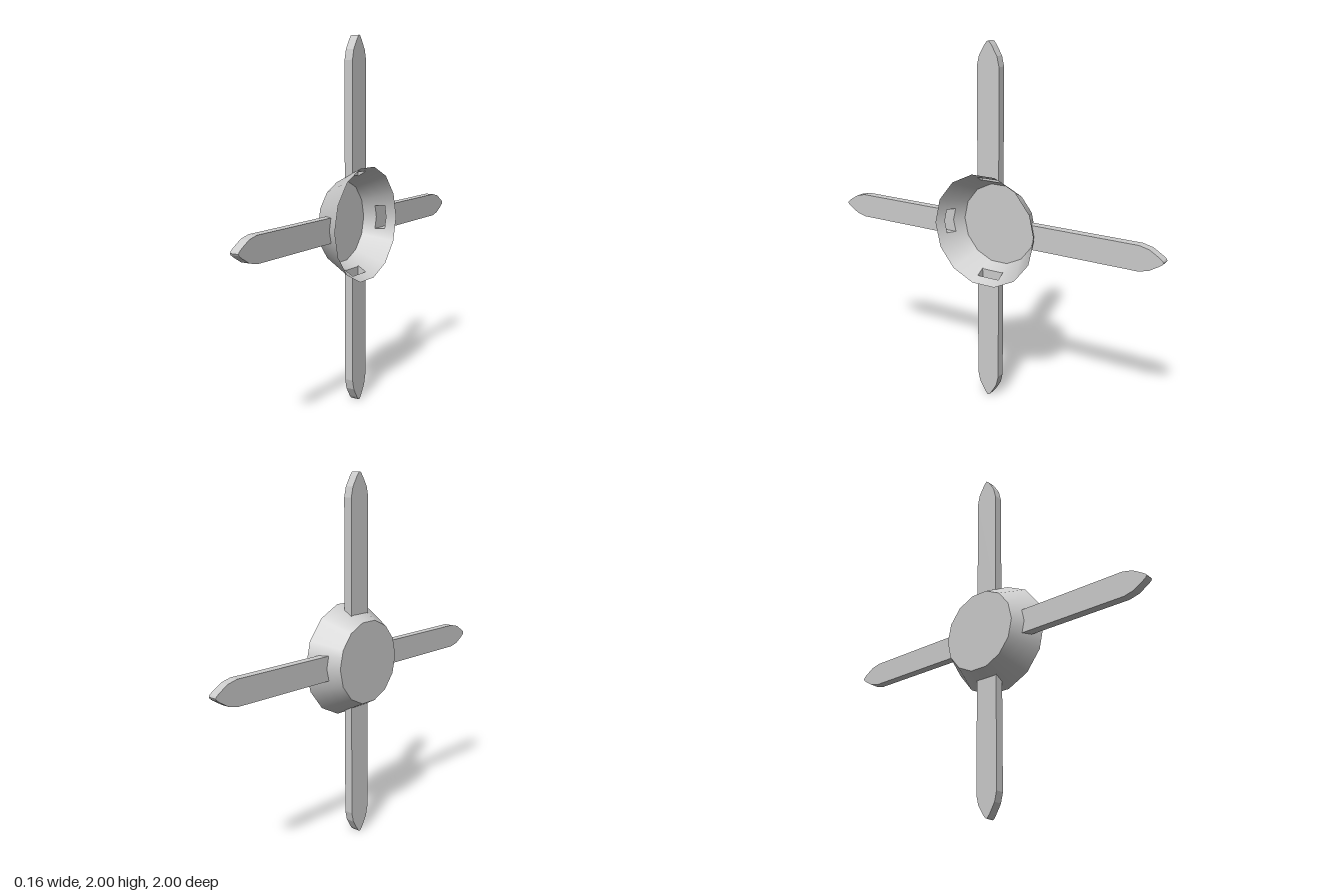
import * as THREE from 'three';

const material = new THREE.MeshStandardMaterial({ color: 0xcccccc, side: THREE.DoubleSide });

const SIDES = 14, STEP = (2 * Math.PI) / SIDES;
const HALF_DEPTH = 0.082, R_BACK = 0.228, R_RIM = 0.314;
const SLOT_BACK = -0.018, SLOT_FRONT = 0.031, HALF_WIDTH = 0.067;
const SLOPE = (R_RIM - R_BACK) / (2 * HALF_DEPTH);
const radiusAt = (x) => R_BACK + (x + HALF_DEPTH) * SLOPE;

// One quarter of the 14-sided ring as [z, y] points, with the slot corners
// included: points 0-1 and 4-6 span the slots.
function quarterRing(x, slotX) {
  const scale = radiusAt(x) / radiusAt(slotX);
  const r = radiusAt(slotX), apothem = r * Math.cos(STEP / 2), w = HALF_WIDTH;
  const corner = (k) => [r * Math.cos(k * STEP), r * Math.sin(k * STEP)];
  const m1 = STEP / 2, m2 = STEP * 2.5;
  return [
    corner(0),
    [(apothem - w * Math.sin(m1)) / Math.cos(m1), w],
    corner(1),
    corner(2),
    [w, (apothem - w * Math.cos(m2)) / Math.sin(m2)],
    corner(3),
    [0, apothem],
  ].map(([z, y]) => [z * scale, y * scale]);
}

// Conical wall with four slots, one quarter mirrored four ways
function coneWall() {
  const xs = [-HALF_DEPTH, SLOT_BACK, SLOT_FRONT, HALF_DEPTH];
  const rings = xs.map((x, i) => quarterRing(x, i < 2 ? SLOT_BACK : SLOT_FRONT));
  const positions = [], normals = [];
  for (const sy of [1, -1]) {
    for (const sz of [1, -1]) {
      const add = (i, j) => {
        const [z, y] = rings[i][j];
        positions.push(xs[i], sy * y, sz * z);
        const n = new THREE.Vector2(z, y).normalize();
        const len = Math.hypot(1, SLOPE);
        normals.push(-SLOPE / len, (sy * n.y) / len, (sz * n.x) / len);
      };
      for (let i = 0; i < 3; i++) {
        for (let j = 0; j < 6; j++) {
          if (i === 1 && (j === 0 || j >= 4)) continue; // slot opening
          const quad = [[i, j], [i + 1, j], [i + 1, j + 1], [i, j + 1]];
          if (sy * sz < 0) quad.reverse();
          for (const k of [0, 1, 2, 0, 2, 3]) add(...quad[k]);
        }
      }
    }
  }
  const g = new THREE.BufferGeometry();
  g.setAttribute('position', new THREE.Float32BufferAttribute(positions, 3));
  g.setAttribute('normal', new THREE.Float32BufferAttribute(normals, 3));
  return g;
}

// Blade outline [across, outward], counter-clockwise: base on the cone, then the tip
function bladeOutline(x, upright) {
  const ring = quarterRing(x, x);
  const half = upright
    ? [ring[4], ring[5], ring[6]]
    : [[ring[1][1], ring[1][0]], [0, ring[0][0]]];
  const mirrorHalf = (pts) => pts.slice(0, -1).reverse().map(([u, v]) => [-u, v]);
  const right = [[HALF_WIDTH, 0.87], [0.054, 0.925], [0.022, 0.978], [0.009, 0.995], [0, 1]];
  const base = [...half, ...mirrorHalf(half)].reverse(); // left to right
  const points = [...base, ...right, ...mirrorHalf(right)];
  return { points: points.map(([u, v]) => new THREE.Vector2(u, v)), baseCount: base.length };
}

// Hollow blade, open where it meets the cone
function bladeGeometry(upright) {
  const { points: front, baseCount } = bladeOutline(SLOT_FRONT, upright);
  const { points: back } = bladeOutline(SLOT_BACK, upright);
  const positions = [];
  const addFront = (k) => positions.push(SLOT_FRONT, front[k].y, -front[k].x);
  const addBack = (k) => positions.push(SLOT_BACK, back[k].y, -back[k].x);
  for (const t of THREE.ShapeUtils.triangulateShape(front, [])) t.forEach(addFront);
  for (const t of THREE.ShapeUtils.triangulateShape(back, [])) [...t].reverse().forEach(addBack);
  for (let p = baseCount - 1; p < front.length; p++) {
    const q = (p + 1) % front.length;
    addFront(p); addBack(p); addBack(q);
    addFront(p); addBack(q); addFront(q);
  }
  const g = new THREE.BufferGeometry();
  g.setAttribute('position', new THREE.Float32BufferAttribute(positions, 3));
  g.computeVertexNormals();
  return g;
}

export function createModel() {
  const model = new THREE.Group();
  model.name = 'bladedHub';
  const add = (name, geometry) => {
    const mesh = new THREE.Mesh(geometry, material);
    mesh.name = name;
    mesh.position.y = 1;
    model.add(mesh);
    return mesh;
  };

  add('hubWall', coneWall());

  // Flat plate closing the narrow end
  const plate = new THREE.CircleGeometry(R_BACK, SIDES);
  plate.rotateY(-Math.PI / 2);
  plate.translate(-HALF_DEPTH, 0, 0);
  add('hubPlate', plate);

  // Four blades, a quarter turn apart
  ['topBlade', 'frontBlade', 'bottomBlade', 'backBlade'].forEach((name, i) => {
    add(name, bladeGeometry(i % 2 === 0)).rotation.x = (i * Math.PI) / 2;
  });
  return model;
}
